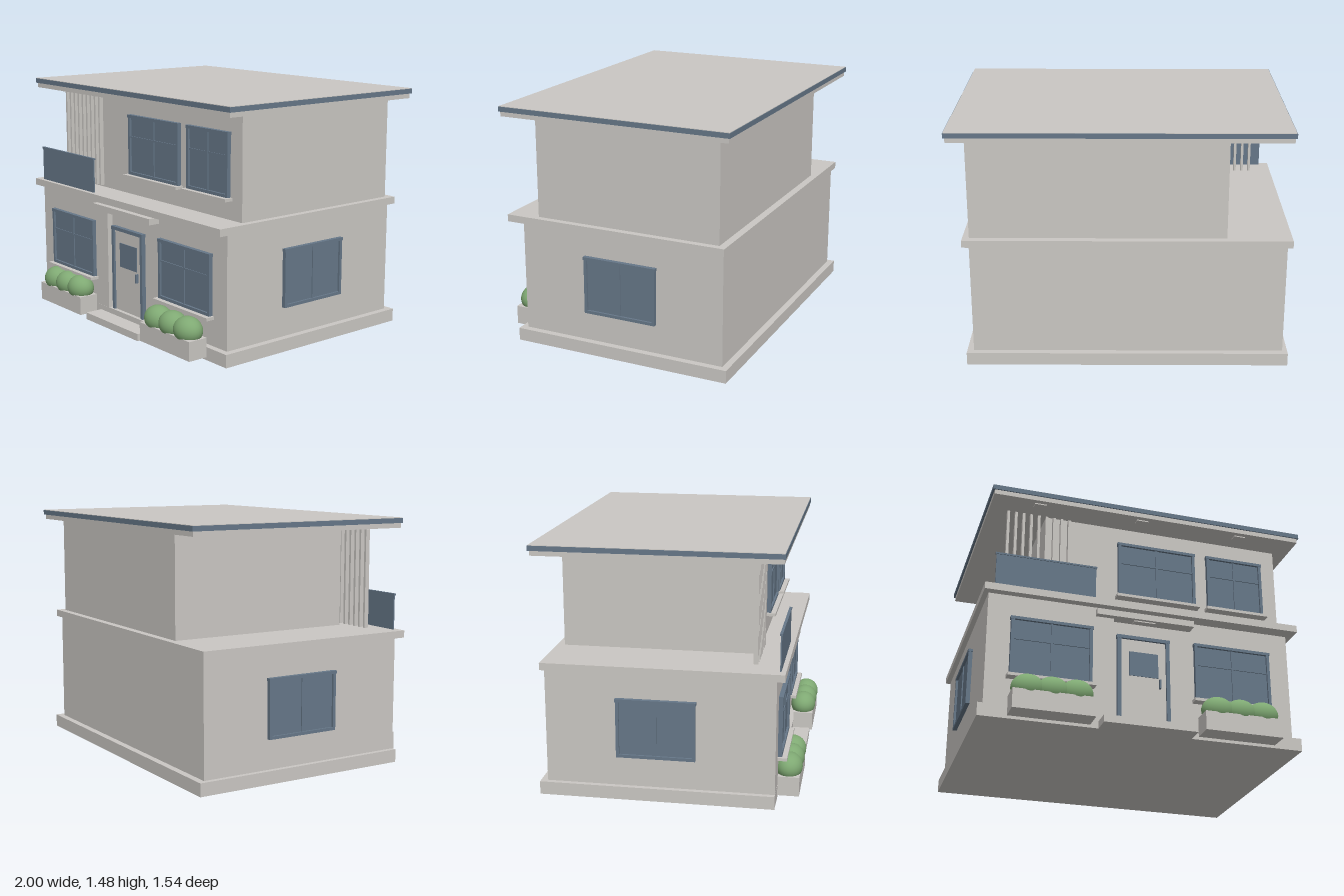
import * as THREE from 'three';

const mat = (name, color) => {
  const m = new THREE.MeshStandardMaterial({ color });
  m.name = name;
  return m;
};

export function createModel() {
  const wall = mat('warm grey render', 0xcac7c3);
  const blue = mat('slate blue', 0x667788);
  const green = mat('leaf green', 0x7fa973);

  const house = new THREE.Group();
  house.name = 'house';

  // Box given by its minimum and maximum on each axis
  function box(name, material, [x0, x1], [y0, y1], [z0, z1], parent = house) {
    const mesh = new THREE.Mesh(new THREE.BoxGeometry(x1 - x0, y1 - y0, z1 - z0), material);
    mesh.position.set((x0 + x1) / 2, (y0 + y1) / 2, (z0 + z1) / 2);
    mesh.name = name;
    parent.add(mesh);
    return mesh;
  }

  // Window of width w and height h, standing on y = 0 with its back on z = 0
  function makeWindow(name, w, h, { transom = true, sill = true } = {}) {
    const g = new THREE.Group();
    g.name = name;
    const t = 0.018, d = 0.025, a = w / 2;
    box('glass', blue, [-a + t, a - t], [t, h - t], [0, 0.012], g);
    for (const s of [-1, 1]) {
      const x = s * (a - t / 2);
      box('frameSide', blue, [x - t / 2, x + t / 2], [0, h], [0, d], g);
    }
    box('frameTop', blue, [-a - 0.004, a + 0.004], [h - t, h], [0, d + 0.002], g);
    box('frameBottom', blue, [-a + t, a - t], [0, t], [0, d], g);
    box('mullion', blue, [-0.006, 0.006], [t, h - t], [0, 0.019], g);
    if (transom) box('transom', blue, [-a + t, a - t], [h * 0.615, h * 0.615 + 0.011], [0, 0.018], g);
    if (sill) box('sill', wall, [-a - 0.016, a + 0.016], [-0.018, 0], [0, 0.055], g);
    house.add(g);
    return g;
  }

  // Ground floor
  box('plinth', wall, [-1, 0.935], [0, 0.078], [-0.74, 0.634]);
  box('groundFloor', wall, [-0.97, 0.895], [0.078, 0.76], [-0.7, 0.595]);
  box('frontBay', wall, [-0.97, -0.22], [0.078, 0.76], [0.595, 0.633]);
  box('floorSlab', wall, [-1, 0.935], [0.76, 0.803], [-0.72, 0.68]);

  // Upper floor and roof
  box('upperFloor', wall, [-0.617, 0.895], [0.803, 1.415], [-0.675, 0.488]);
  box('roofSoffit', wall, [-0.97, 0.99], [1.415, 1.444], [-0.762, 0.66]);
  box('roofFascia', blue, [-0.98, 1], [1.444, 1.473], [-0.772, 0.667]);
  box('roofTop', wall, [-0.977, 0.997], [1.473, 1.476], [-0.769, 0.664]);
  for (const x of [-0.68, -0.035, 0.61]) {
    box('soffitLight', wall, [x - 0.037, x + 0.037], [1.408, 1.415], [0.585, 0.63]);
  }

  // Windows
  makeWindow('upperWideWindow', 0.5, 0.372).position.set(0.094, 0.932, 0.488);
  makeWindow('upperNarrowWindow', 0.37, 0.372).position.set(0.61, 0.932, 0.488);
  makeWindow('bayWindow', 0.48, 0.365).position.set(-0.594, 0.256, 0.633);
  makeWindow('groundWindow', 0.48, 0.365).position.set(0.525, 0.256, 0.595);
  for (const s of [-1, 1]) {
    const side = makeWindow('sideWindow', 0.46, 0.352, { transom: false, sill: false });
    side.position.set(s > 0 ? 0.895 : -0.97, 0.257, -0.053);
    side.rotation.y = s * Math.PI / 2;
  }

  // Front door
  const door = new THREE.Group();
  door.name = 'frontDoor';
  house.add(door);
  box('doorLeaf', wall, [-0.175, 0.105], [0.078, 0.592], [0.595, 0.609], door);
  box('doorFrameRight', blue, [-0.195, -0.173], [0.078, 0.592], [0.595, 0.622], door);
  box('doorFrameLeft', blue, [0.103, 0.125], [0.078, 0.592], [0.595, 0.622], door);
  box('doorFrameTop', blue, [-0.198, 0.128], [0.592, 0.613], [0.595, 0.623], door);
  box('doorPane', blue, [-0.121, 0.056], [0.362, 0.515], [0.609, 0.613], door);
  box('doorHandle', blue, [0.06, 0.07], [0.297, 0.352], [0.609, 0.627], door);

  // Canopy with its lamp, and the doorstep
  box('canopy', wall, [-0.332, 0.266], [0.703, 0.741], [0.592, 0.669]);
  box('canopyLight', wall, [-0.1, 0.03], [0.696, 0.703], [0.61, 0.65]);
  box('doorstep', wall, [-0.31, 0.245], [0, 0.044], [0.634, 0.746]);

  // Terrace railing and slatted screen
  box('railingPanel', blue, [-0.938, -0.337], [0.803, 1.01], [0.645, 0.653]);
  box('railingCap', blue, [-0.943, -0.332], [1.01, 1.021], [0.641, 0.657]);
  for (let i = 0; i < 9; i++) {
    const x = -0.853 + i * 0.0476;
    box('screenSlat', wall, [x - 0.008, x + 0.008], [0.815, 1.405], [0.488, 0.515]);
  }

  // Planters with round shrubs
  const shrubShape = new THREE.SphereGeometry(1, 28, 18);
  for (const x of [-0.595, 0.525]) {
    box('planter', wall, [x - 0.237, x + 0.237], [0.018, 0.134], [0.634, 0.76]);
    for (const dx of [-0.14, 0, 0.14]) {
      const shrub = new THREE.Mesh(shrubShape, green);
      shrub.name = 'shrub';
      shrub.scale.set(0.096, 0.08, 0.08);
      shrub.position.set(x + dx, 0.168, 0.692);
      house.add(shrub);
    }
  }

  return house;
}
